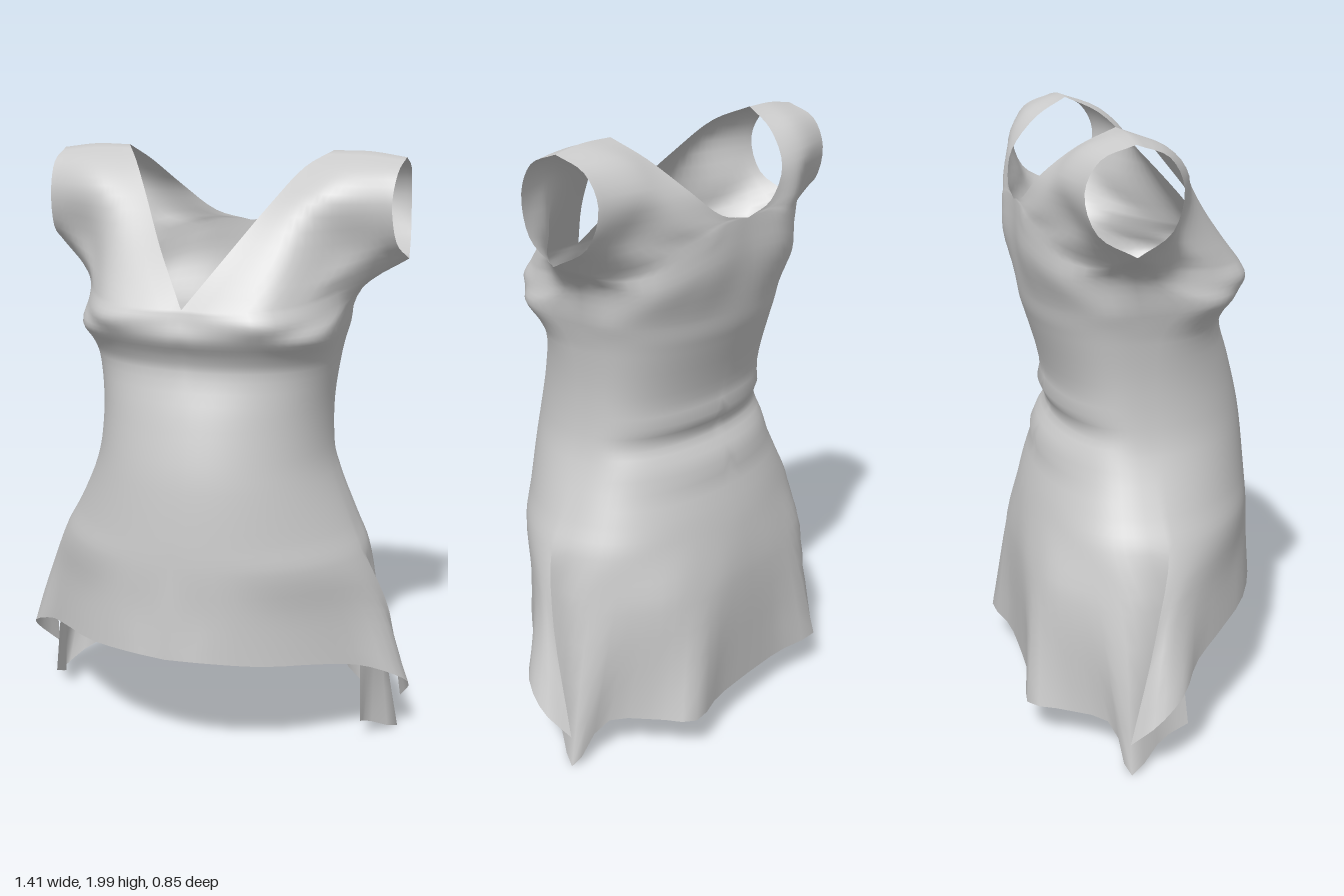
import * as THREE from 'three';
import { mergeGeometries, mergeVertices } from 'three/addons/utils/BufferGeometryUtils.js';

const COLS = 18;  // columns from centre line to side seam
const SUB = 4;    // rows between two key cross-sections

const sample = (pts) => {
  const c = new THREE.CatmullRomCurve3(pts.map((p) => new THREE.Vector3(...p)));
  return Array.from({ length: COLS + 1 }, (_, k) => c.getPoint(k / COLS));
};

// Torso sections: y, half width, front z, back z, side seam z, front roundness
const TORSO = [
  [0.70, 0.535, 0.415, -0.36, 0.01, 1.3],
  [0.80, 0.485, 0.41, -0.335, 0, 1.2],
  [0.97, 0.41, 0.395, -0.28, -0.01, 1],
  [1.06, 0.39, 0.38, -0.26, -0.02, 0.95],
  [1.20, 0.385, 0.345, -0.28, -0.03, 0.9],
  [1.34, 0.40, 0.305, -0.32, -0.04, 0.75],
  [1.39, 0.41, 0.32, -0.335, -0.04, 0.65],
  [1.45, 0.425, 0.355, -0.345, -0.05, 0.5],
];

const SHOULDER = [[0.35, 1.995, -0.11], [0.47, 1.995, -0.11], [0.585, 1.98, -0.11]];

// Curves from the centre or neck edge to the side: hem, hip flare, chest, yoke
const FRONT = {
  lower: [
    [[0, 0.41, 0.43], [0.12, 0.41, 0.415], [0.3, 0.39, 0.335], [0.46, 0.365, 0.2],
      [0.57, 0.33, 0.09], [0.67, 0.28, 0.02], [0.705, 0.21, -0.07], [0.66, 0.12, -0.15]],
    [[0, 0.55, 0.425], [0.2, 0.55, 0.38], [0.38, 0.54, 0.26], [0.53, 0.53, 0.11], [0.61, 0.5, 0], [0.625, 0.47, -0.06]],
  ],
  chest: [[0, 1.5, 0.345], [0.14, 1.5, 0.352], [0.27, 1.5, 0.33], [0.37, 1.51, 0.2], [0.43, 1.53, 0.05], [0.465, 1.57, -0.08]],
  yoke: [
    [[0, 1.54, 0.335], [0.12, 1.54, 0.34], [0.25, 1.55, 0.31], [0.35, 1.56, 0.2], [0.43, 1.59, 0.06], [0.605, 1.665, -0.11]],
    [[0.11, 1.70, 0.22], [0.28, 1.68, 0.21], [0.43, 1.69, 0.07], [0.585, 1.73, 0]],
    [[0.21, 1.85, 0.09], [0.36, 1.85, 0.11], [0.575, 1.85, 0.035]],
    [[0.285, 1.95, -0.01], [0.42, 1.945, 0.025], [0.58, 1.94, -0.01]],
    SHOULDER,
  ],
};
const BACK = {
  lower: [
    [[0, 0.125, -0.38], [0.18, 0.125, -0.385], [0.36, 0.135, -0.42], [0.43, 0.13, -0.3],
      [0.53, 0.12, -0.18], [0.655, 0.005, -0.15], [0.575, 0.07, -0.02], [0.57, 0.11, 0.065]],
    [[0, 0.52, -0.385], [0.2, 0.52, -0.38], [0.37, 0.52, -0.34], [0.5, 0.52, -0.22], [0.57, 0.52, -0.1], [0.545, 0.54, 0.025]],
  ],
  chest: [[0, 1.6, -0.36], [0.2, 1.59, -0.36], [0.36, 1.55, -0.28], [0.465, 1.57, -0.08]],
  yoke: [
    [[0, 1.73, -0.355], [0.1, 1.73, -0.357], [0.2, 1.70, -0.36], [0.33, 1.65, -0.31], [0.43, 1.61, -0.2], [0.605, 1.665, -0.11]],
    [[0.13, 1.76, -0.35], [0.3, 1.75, -0.335], [0.45, 1.72, -0.25], [0.585, 1.73, -0.22]],
    [[0.24, 1.845, -0.315], [0.4, 1.85, -0.3], [0.575, 1.85, -0.255]],
    [[0.315, 1.94, -0.215], [0.42, 1.945, -0.235], [0.58, 1.94, -0.21]],
    SHOULDER,
  ],
};
const SLIT_ROW = 2 * SUB;                     // top of the side slits
const NECK_ROW = (TORSO.length + 3) * SUB;    // neck base and underarm

// Half cross-section of the torso
function torsoSection([y, w, zf, zb, zs, round], isFront) {
  return Array.from({ length: COLS + 1 }, (_, k) => {
    const a = (k / COLS) * Math.PI / 2;
    const c = Math.pow(Math.max(0, Math.cos(a)), isFront ? round : 0.75);
    return new THREE.Vector3(w * Math.sin(a), y, zs + ((isFront ? zf : zb) - zs) * c);
  });
}

// Smooth rows of points running upward through the key sections
function loftRows(keys) {
  const rows = (keys.length - 1) * SUB;
  const columns = keys[0].map((_, k) => new THREE.CatmullRomCurve3(keys.map((r) => r[k])));
  return Array.from({ length: rows + 1 }, (_, r) => columns.map((c) => c.getPoint(r / rows)));
}

// Grid of one half panel: skirt and torso up to the neck base, then the yoke
function panelGrid(panel, isFront) {
  const yoke = panel.yoke.map(sample);
  const body = [
    ...panel.lower.map(sample),
    ...TORSO.map((s) => torsoSection(s, isFront)),
    sample(panel.chest),
    yoke[0],
  ];
  return [...loftRows(body), ...loftRows(yoke).slice(1)];
}

// Gathered cloth folds across the small of the back
function addFolds(grid) {
  for (const row of grid) row.forEach((p, k) => {
    const fade = Math.cos((k / COLS) * Math.PI / 2);
    const bump = (y, size) => size * Math.exp(-(((p.y - y - 0.1 * p.x * p.x) / 0.03) ** 2));
    p.z -= fade * (bump(1.09, 0.018) + bump(0.94, 0.018) - bump(1.02, 0.012));
  });
}

// Turn a half panel into a surface on the given side
function gridGeometry(grid, side, isFront) {
  const pos = [];
  const index = [];
  const n = COLS + 1;
  for (const row of grid) for (const p of row) {
    const shift = 0.03 * THREE.MathUtils.smoothstep(p.y, 0.3, 1);
    pos.push(side * p.x + shift, p.y, p.z);
  }
  const flip = (side > 0) !== isFront;
  for (let r = 0; r < grid.length - 1; r++) {
    for (let k = 0; k < COLS; k++) {
      const a = r * n + k, b = a + 1, c = a + n, d = c + 1;
      if (flip) index.push(a, c, b, b, c, d);
      else index.push(a, b, c, b, d, c);
    }
  }
  const g = new THREE.BufferGeometry();
  g.setAttribute('position', new THREE.Float32BufferAttribute(pos, 3));
  g.setIndex(index);
  return g;
}

export function createModel() {
  const front = panelGrid(FRONT, true);
  const back = panelGrid(BACK, false);
  addFolds(back);

  // Join the side seams between slit and underarm
  for (let r = SLIT_ROW; r <= NECK_ROW; r++) {
    const a = front[r][COLS], b = back[r][COLS];
    a.lerp(b, 0.5);
    b.copy(a);
  }

  const parts = [];
  for (const side of [1, -1]) {
    parts.push(gridGeometry(front, side, true), gridGeometry(back, side, false));
  }
  const geometry = mergeVertices(mergeGeometries(parts), 1e-4);
  geometry.computeVertexNormals();

  const cloth = new THREE.MeshStandardMaterial({ color: 0xcccccc, side: THREE.DoubleSide });
  const dress = new THREE.Mesh(geometry, cloth);
  dress.name = 'dress';
  const group = new THREE.Group();
  group.name = 'vNeckTunicDress';
  group.add(dress);
  return group;
}
